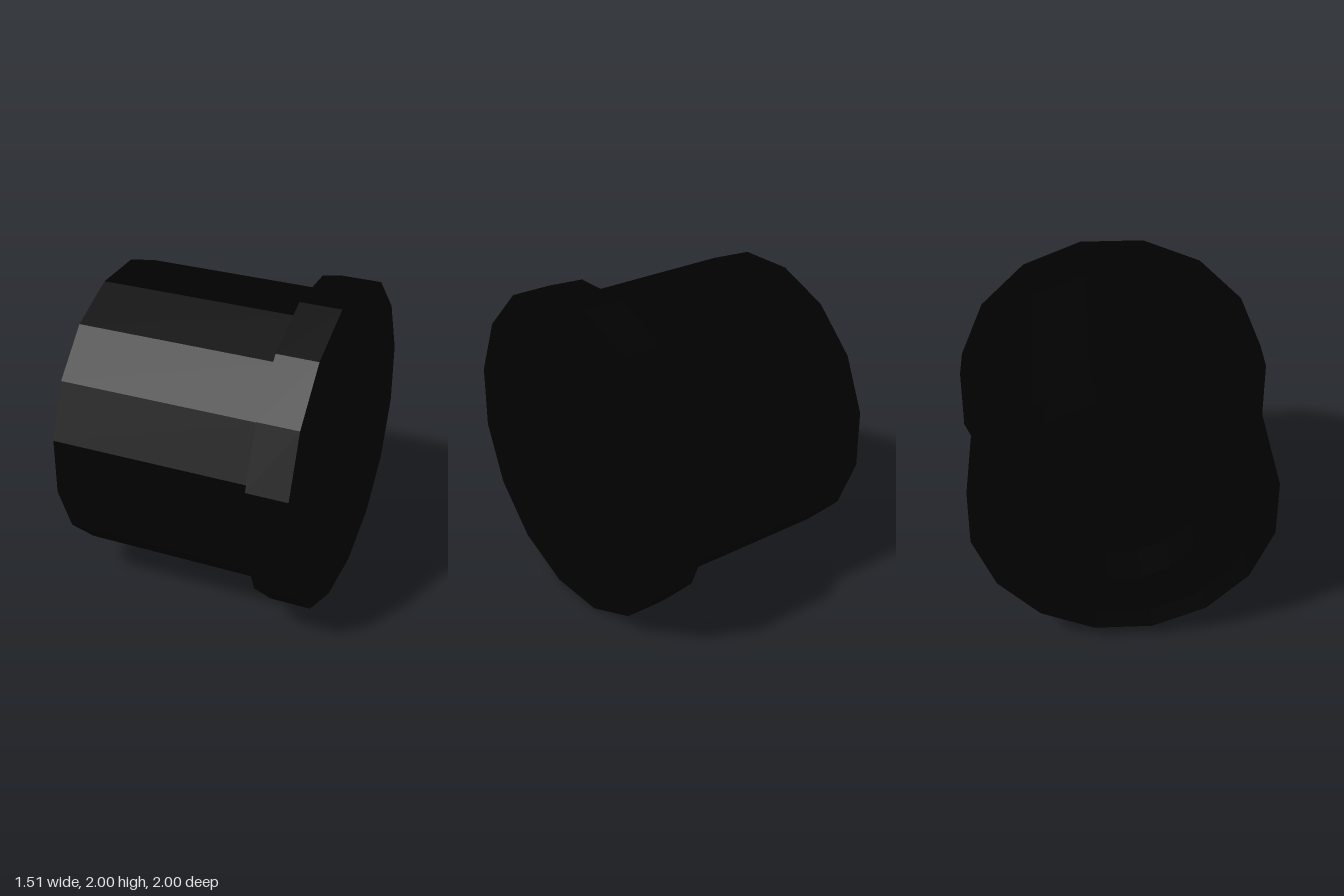
import * as THREE from 'three';

const SIDES = 16;

export function createModel() {
  const model = new THREE.Group();
  const black = new THREE.MeshStandardMaterial({ color: 0x010101, flatShading: true });
  black.name = 'black';

  // Turned part: profile of [radius, x] pairs, with a flat side at the top
  const turned = (name, profile) => {
    const points = profile.map(([r, x]) => new THREE.Vector2(r, x));
    const geometry = new THREE.LatheGeometry(points, SIDES, Math.PI / SIDES);
    geometry.rotateZ(-Math.PI / 2);
    const mesh = new THREE.Mesh(geometry, black);
    mesh.name = name;
    mesh.position.y = 1;
    model.add(mesh);
  };

  // Thin-walled shell, hollow down to the flange end
  turned('body', [[0.78, 0.745], [0.912, 0.745], [0.912, -0.755], [0.918, -0.755], [0.918, 0.5]]);

  // Full-length core with a blind bore, leaving a deep groove inside the shell
  turned('core', [[0, -0.5], [0.51, -0.5], [0.51, -0.755], [0.785, -0.755], [0.785, 0.745]]);

  // Wider flange with a closed flat end
  turned('flange', [[0.912, 0.5], [1.02, 0.5], [1.02, 0.755], [0, 0.755]]);

  return model;
}
